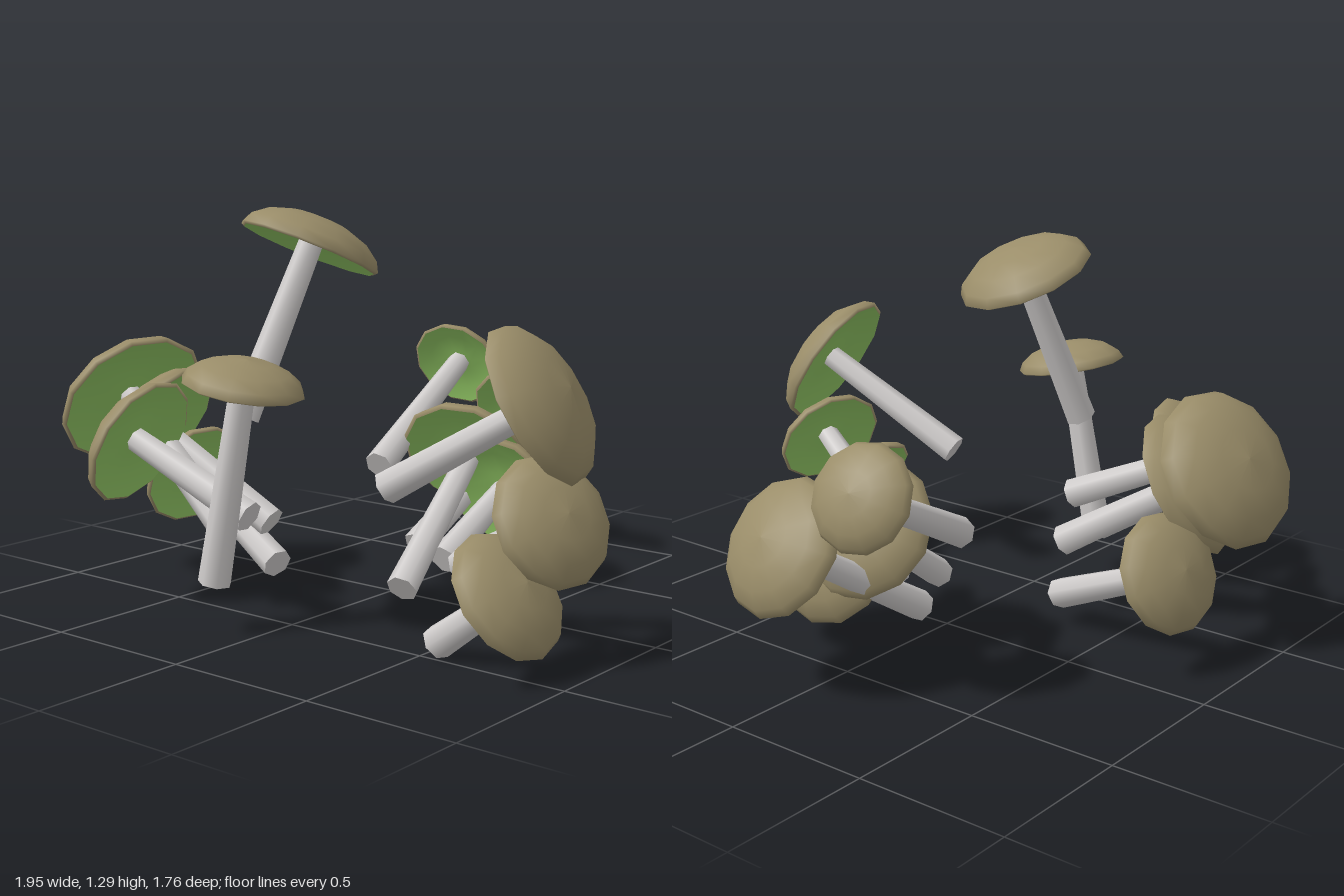
import * as THREE from 'three';

const SIDES = 12;

// Unit profiles, scaled by each cap's radius
const points = (list) => list.map(([x, y]) => new THREE.Vector2(x, y));
const capProfile = points([[0.95, 0.0], [1, 0.03], [0.93, 0.17], [0.72, 0.33], [0.4, 0.44], [0, 0.48]]);
const gillProfile = points([[0, 0.1], [0.3, 0.13], [0.65, 0.1], [0.95, 0]]);

// Each mushroom: stem foot, cap rim centre, cap radius
const MUSHROOMS = [
  // centre
  [[-0.165, 0.65, 0.53], [-0.07, 1.16, 0.33], 0.23],
  [[-0.12, 0.17, 0.715], [-0.005, 0.775, 0.7], 0.187],
  // -x cluster
  [[-0.26, 0.28, 0.52], [-0.81, 0.62, 0.39], 0.262],
  [[-0.24, 0.27, 0.33], [-0.67, 0.54, 0.4], 0.245],
  [[-0.11, 0.35, 0.57], [-0.53, 0.54, 0.62], 0.22],
  [[-0.28, 0.11, 0.26], [-0.76, 0.33, 0.15], 0.195],
  // +x cluster
  [[0.3, 0.47, 0.41], [0.76, 0.75, 0.3], 0.255],
  [[0.44, 0.215, 0.21], [0.84, 0.43, 0.34], 0.2],
  [[0.54, 0.05, 0.47], [0.79, 0.235, 0.485], 0.2],
  // back cluster
  [[-0.145, 0.4, -0.11], [-0.23, 0.68, -0.67], 0.17],
  [[-0.02, 0.13, -0.16], [0.04, 0.48, -0.72], 0.225],
  [[0.19, 0.09, 0.19], [0.085, 0.42, -0.31], 0.24],
  [[0.215, 0.15, 0.0], [0.2, 0.31, -0.34], 0.23],
];

export function createModel() {
  const material = (name, color) => {
    const m = new THREE.MeshStandardMaterial({ color });
    m.name = name;
    return m;
  };
  const brown = material('capBrown', 0x9a8d69);
  const green = material('gillGreen', 0x92c765);
  const grey = material('stemGrey', 0xd0cdcc);

  const capGeometry = new THREE.LatheGeometry(capProfile, SIDES);
  const gillGeometry = new THREE.LatheGeometry(gillProfile, SIDES);
  const up = new THREE.Vector3(0, 1, 0);
  const model = new THREE.Group();
  model.name = 'mushroomCluster';

  MUSHROOMS.forEach(([foot, top, radius], i) => {
    const base = new THREE.Vector3(...foot);
    const axis = new THREE.Vector3(...top).sub(base);
    const length = axis.length();

    // Local frame: foot at the origin, stem along +y
    const mushroom = new THREE.Group();
    mushroom.name = `mushroom${i + 1}`;
    mushroom.position.copy(base);
    mushroom.quaternion.setFromUnitVectors(up, axis.normalize());

    // Tapered stem reaching into the cap
    const stemLength = length + radius * 0.15;
    const stem = new THREE.Mesh(new THREE.CylinderGeometry(0.04, 0.052, stemLength, 7), grey);
    stem.name = 'stem';
    stem.position.y = stemLength / 2;

    // Domed cap with a hollow underside
    const cap = new THREE.Mesh(capGeometry, brown);
    cap.name = 'cap';
    const gills = new THREE.Mesh(gillGeometry, green);
    gills.name = 'gills';
    for (const part of [cap, gills]) {
      part.position.y = length;
      part.scale.setScalar(radius);
    }
    mushroom.add(stem, cap, gills);
    model.add(mushroom);
  });
  return model;
}
